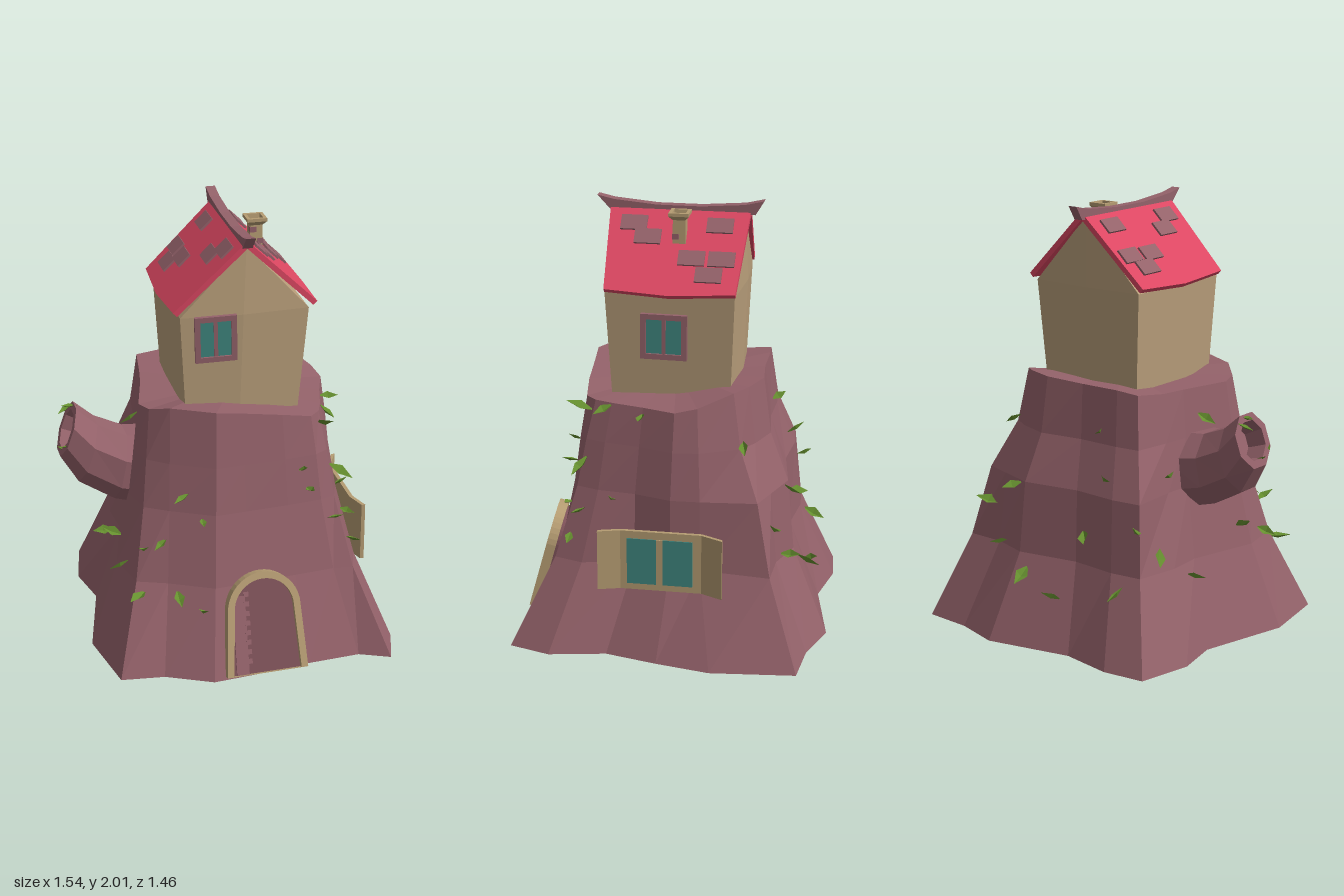
import * as THREE from 'three';

const mat = (color) => new THREE.MeshStandardMaterial({ color, flatShading: true, side: THREE.DoubleSide });
const BARK = mat(0x94626a), DARK = mat(0x7d5158), TAN = mat(0xb89e7a), TRIM = mat(0xb59c72);
const RED = mat(0xdc4762), GLASS = mat(0x3f8780), LEAF = mat(0x66902f);
const V = (x, y, z) => new THREE.Vector3(x, y, z);

function add(parent, name, geo, material, x = 0, y = 0, z = 0) {
  const m = new THREE.Mesh(geo, material);
  m.name = name;
  m.position.set(x, y, z);
  parent.add(m);
  return m;
}
const box = (w, h, d) => new THREE.BoxGeometry(w, h, d);

// Skin a stack of equal-length rings (counter-clockwise about the stacking axis) and close both ends
function loft(rings) {
  const n = rings[0].length, pts = rings.flat(), idx = [];
  for (let r = 0; r < rings.length - 1; r++) {
    for (let i = 0; i < n; i++) {
      const j = (i + 1) % n, a = r * n + i, b = r * n + j;
      idx.push(a, b, b + n, a, b + n, a + n);
    }
  }
  [rings[0], rings[rings.length - 1]].forEach((ring, end) => {
    const c = pts.length, o = end ? (rings.length - 1) * n : 0;
    pts.push(ring.reduce((s, p) => s.add(p), V(0, 0, 0)).divideScalar(n));
    for (let i = 0; i < n; i++) {
      const j = (i + 1) % n;
      if (end) idx.push(c, o + i, o + j); else idx.push(c, o + j, o + i);
    }
  });
  const g = new THREE.BufferGeometry().setFromPoints(pts);
  g.setIndex(idx);
  g.computeVertexNormals();
  return g;
}

// Stump outline: ground and rim, left > front > right > back
const FOOT = [[-.67, .24], [-.6, .59], [-.4, .61], [-.19, .71], [0, .69], [.28, .65], [.52, .63], [.66, .69], [.72, .5], [.67, .24],
  [.73, 0], [.78, -.25], [.74, -.64], [.51, -.66], [.29, -.73], [-.12, -.65], [-.37, -.7], [-.57, -.68], [-.62, -.42], [-.57, -.2]];
const RIM = [[-.41, 1.17, .15], [-.38, 1.18, .24], [-.3, 1.21, .32], [-.11, 1.21, .42], [.02, 1.19, .41], [.2, 1.16, .4], [.34, 1.13, .38],
  [.39, 1.13, .33], [.42, 1.13, .25], [.46, 1.13, .1], [.51, 1.13, -.05], [.49, 1.15, -.15], [.4, 1.2, -.3], [.33, 1.21, -.36],
  [.19, 1.21, -.41], [0, 1.2, -.39], [-.2, 1.2, -.39], [-.31, 1.19, -.38], [-.33, 1.17, -.22], [-.35, 1.17, -.1]];
const HEIGHTS = [0, .4, .73, .95, null];
const LOW = (i) => (i >= 9 && i <= 11 ? .25 : i === 12 ? .58 : .48);
const MID = (i) => (i >= 12 && i <= 17 ? .38 : .22);
const flare = (level, i) => [1, LOW(i), MID(i), .11, 0][level];
const STUMP = HEIGHTS.map((h, l) => RIM.map(([x, y, z], i) => {
  const f = flare(l, i);
  return V(x + (FOOT[i][0] - x) * f, h ?? y, z + (FOOT[i][1] - z) * f);
}));

// Point on the stump skin at a fractional column and a height
function onStump(col, y) {
  const i = Math.floor(col), j = (i + 1) % RIM.length;
  const at = (k) => {
    let l = 0;
    while (l < 3 && STUMP[l + 1][k].y < y) l++;
    const a = STUMP[l][k], b = STUMP[l + 1][k];
    return a.clone().lerp(b, Math.min(1, (y - a.y) / (b.y - a.y)));
  };
  return at(i).lerp(at(j), col - i);
}

// Framed window facing +z
function windowUnit(name, w, h, frameMat) {
  const g = new THREE.Group();
  g.name = name;
  const t = .025;
  for (const s of [-1, 1]) {
    add(g, 'frameSide', box(t, h, .03), frameMat, s * (w - t) / 2);
    add(g, 'frameRail', box(w - 2 * t, t, .03), frameMat, 0, s * (h - t) / 2);
  }
  add(g, 'glass', box(w - 2 * t, h - 2 * t, .012), GLASS);
  add(g, 'mullion', box(.018, h - 2 * t, .02), frameMat);
  return g;
}

// Broken branch with a hollow end
function branch() {
  const rings = [[-.3, .78, -.01, .185, 0], [-.48, .815, -.01, .165, .2], [-.625, .885, -.04, .15, .33], [-.71, .985, -.06, .125, .34],
    [-.71, .985, -.06, .09, .34], [-.62, .95, -.05, .075, .34]];
  return loft(rings.map(([x, y, z, r, tilt]) => Array.from({ length: 8 }, (_, k) => {
    const a = (k + .5) / 8 * Math.PI * 2, u = Math.cos(a) * r * 1.06, v = Math.sin(a) * r;
    return V(x + Math.sin(tilt) * u, y + Math.cos(tilt) * u, z - v);
  })));
}

// Outline of a round-headed doorway, traced onto a Shape or Path
function archOutline(p, half, spring, flareOut) {
  p.moveTo(half + flareOut, 0);
  p.lineTo(half, spring);
  p.absarc(0, spring, half, 0, Math.PI, false);
  p.lineTo(-half - flareOut, 0);
  p.closePath();
  return p;
}

function door() {
  const g = new THREE.Group();
  g.name = 'door';
  const opt = (depth) => ({ depth, bevelEnabled: false, curveSegments: 10 });
  const rim = archOutline(new THREE.Shape(), .175, .3, .02);
  rim.holes.push(archOutline(new THREE.Path(), .143, .3, .02));
  add(g, 'doorArch', new THREE.ExtrudeGeometry(rim, opt(.045)), TRIM, 0, 0, -.02);
  add(g, 'doorPanel', new THREE.ExtrudeGeometry(archOutline(new THREE.Shape(), .15, .3, .015), opt(.06)), DARK, 0, 0, -.055);
  add(g, 'doorStile', box(.06, .37, .01), BARK, -.115, .185, .005);
  for (let i = 0; i < 8; i++) add(g, 'hinge', box(.025, .022, .012), BARK, -.08, .06 + i * .045, .005);
  g.position.set(.06, .012, .69);
  g.rotation.set(-.27, .08, 0);
  return g;
}

// Large side window set in a bent board, its plan (x, z) extruded upwards
function sideWindow() {
  const g = new THREE.Group();
  g.name = 'sideWindow';
  const line = [[.645, .28], [.615, .18], [.615, -.19], [.665, -.29]];
  const plan = [...line, ...line.map(([x, z]) => [x - .018, z]).reverse()].map(([x, z]) => new THREE.Vector2(x, -z));
  add(g, 'board', new THREE.ExtrudeGeometry(new THREE.Shape(plan), { depth: .285, bevelEnabled: false }), TRIM, 0, .31).rotation.x = -Math.PI / 2;
  for (const s of [-1, 1]) add(g, 'pane', box(.012, .22, .135), GLASS, .613, .45, s * .082);
  add(g, 'mullion', box(.016, .22, .03), TRIM, .613, .45, 0);
  return g;
}

// One roof slope and its loose shingles; s is the side, tiles are [x, z] seen from above
function roofSlope(s, tiles) {
  const g = new THREE.Group(), len = .445, slope = .765;
  g.name = s > 0 ? 'roofLeft' : 'roofRight';
  const slab = new THREE.BoxGeometry(len, .025, .64, 1, 1, 2);
  const p = slab.attributes.position;
  // Bow the eave outward and narrow its corners
  for (let i = 0; i < p.count; i++) {
    if (p.getX(i) * s < 0) continue;
    if (Math.abs(p.getZ(i)) < .01) p.setX(i, p.getX(i) + s * .02);
    else p.setZ(i, p.getZ(i) * .92);
  }
  slab.computeVertexNormals();
  add(g, 'slab', slab, RED, s * len / 2);
  for (const [x, z] of tiles) add(g, 'shingle', box(.075, .016, .12), BARK, (x - .055) / Math.cos(slope), .014, z);
  g.position.set(.055, 1.95, -.005);
  g.rotation.z = -s * slope;
  return g;
}

function house() {
  const g = new THREE.Group();
  g.name = 'house';
  const ring = (y, x0, x1, x2, z, bulge) => [V(x0, y, z), V(x1, y, z + bulge), V(x2, y, z),
    V(x2, y, -z), V(x1, y, -z - bulge), V(x0, y, -z)];
  add(g, 'walls', loft([ring(1.11, -.215, .03, .305, .27, .018), ring(1.625, -.245, .04, .345, .293, .018),
    ring(1.94, .055, .055, .055, .298, 0)]), TAN);
  g.add(roofSlope(-1, [[-.135, -.22], [-.19, -.165], [-.14, -.08], [-.01, -.19], [-.06, .125], [-.01, .2]]));
  g.add(roofSlope(1, [[.125, -.19], [.25, -.215], [.31, -.165], [.25, -.08], [.175, .13], [.125, .2]]));

  // Sagging ridge beam, drawn in z-y and extruded across x
  const beam = new THREE.Shape([[.385, 2], [.3, 1.98], [.1, 1.965], [-.1, 1.965], [-.3, 1.983], [-.375, 2], [-.315, 1.935], [.345, 1.935]]
    .map(([z, y]) => new THREE.Vector2(z, y)));
  add(g, 'ridgeBeam', new THREE.ExtrudeGeometry(beam, { depth: .045, bevelEnabled: false }), BARK, .033).rotation.y = Math.PI / 2;

  // Square hollow chimney
  const profile = [[.031, 1.78], [.028, 1.93], [.046, 1.95], [.046, 1.965], [.031, 1.965], [.022, 1.88], [0, 1.88]]
    .map(([r, y]) => new THREE.Vector2(r * Math.SQRT2, y));
  add(g, 'chimney', new THREE.LatheGeometry(profile, 4, Math.PI / 4), TRIM, .175, 0, -.02);
  add(g, 'chimneyBrick', box(.03, .025, .03), BARK, .16, 1.91, -.004);
  add(g, 'chimneyBrick', box(.03, .025, .03), BARK, .193, 1.855, -.004);

  const front = windowUnit('frontWindow', .19, .22, BARK);
  front.position.set(-.085, 1.52, .3);
  front.rotation.set(.05, -.06, .03);
  const side = windowUnit('houseSideWindow', .21, .21, BARK);
  side.position.set(.342, 1.43, .025);
  side.rotation.set(0, Math.PI / 2, -.01);
  g.add(front, side);
  return g;
}

// Folded leaf pointing along +z
function leafGeometry() {
  const g = new THREE.BufferGeometry().setFromPoints([V(0, 0, -.01), V(-.025, .012, .04), V(0, -.004, .045), V(.025, .012, .04), V(0, .015, .095)]);
  g.setIndex([0, 2, 1, 0, 3, 2, 1, 2, 4, 2, 3, 4]);
  g.computeVertexNormals();
  return g;
}

function leaves() {
  const g = new THREE.Group(), geo = leafGeometry();
  g.name = 'leaves';
  const place = (p, k, size) => {
    const m = add(g, 'leaf', geo, LEAF, p.x, p.y, p.z);
    m.rotation.set(.15 + .5 * Math.sin(k * 2.3), Math.atan2(p.x, p.z) + .6 * Math.sin(k * 1.7), .7 * Math.sin(k * 3.1), 'YXZ');
    m.scale.setScalar(size);
  };
  // [stump column, height, size]
  [[1.3, .36, 1.2], [2.2, .37, 1], [2.8, .3, 1], [2.4, .82, .9], [2.7, .71, .7], [1.2, .55, 1], [1.9, .6, .8], [5.6, .8, .8],
    [6.3, .64, .7], [7.2, .87, 1.3], [6.8, 1.08, 1.3], [7.6, .64, .8], [7.3, .52, .8], [5.4, .89, .7], [8, 1.12, 1], [9, 1.1, .9],
    [8.4, .7, .8], [12.2, .98, .9], [12.8, .58, 1.2], [13.3, .42, 1], [14.2, .34, 1.2], [14.8, .23, 1], [13.8, .72, 1],
    [15.2, .55, 1.1], [15.8, .8, 1], [16.4, .35, 1.1], [16.8, .62, 1], [15.5, 1, .8], [17.6, .5, 1.1], [18.2, .8, 1],
    [18.6, .35, 1], [19.3, 1.05, 1], [19.8, .5, 1], [.5, .45, 1]].forEach(([c, y, s], k) => place(onStump(c, y), k, s));
  // Tufts on the branch end
  [[-.66, 1.09, -.08], [-.68, 1.07, -.13], [-.7, .88, -.02], [-.69, .95, .05]].forEach((p, k) => place(V(...p), k, .75));
  return g;
}

export function createModel() {
  const model = new THREE.Group();
  model.name = 'stumpHouse';
  add(model, 'stump', loft(STUMP), BARK);
  add(model, 'branch', branch(), BARK);
  model.add(door(), sideWindow(), house(), leaves());
  return model;
}
